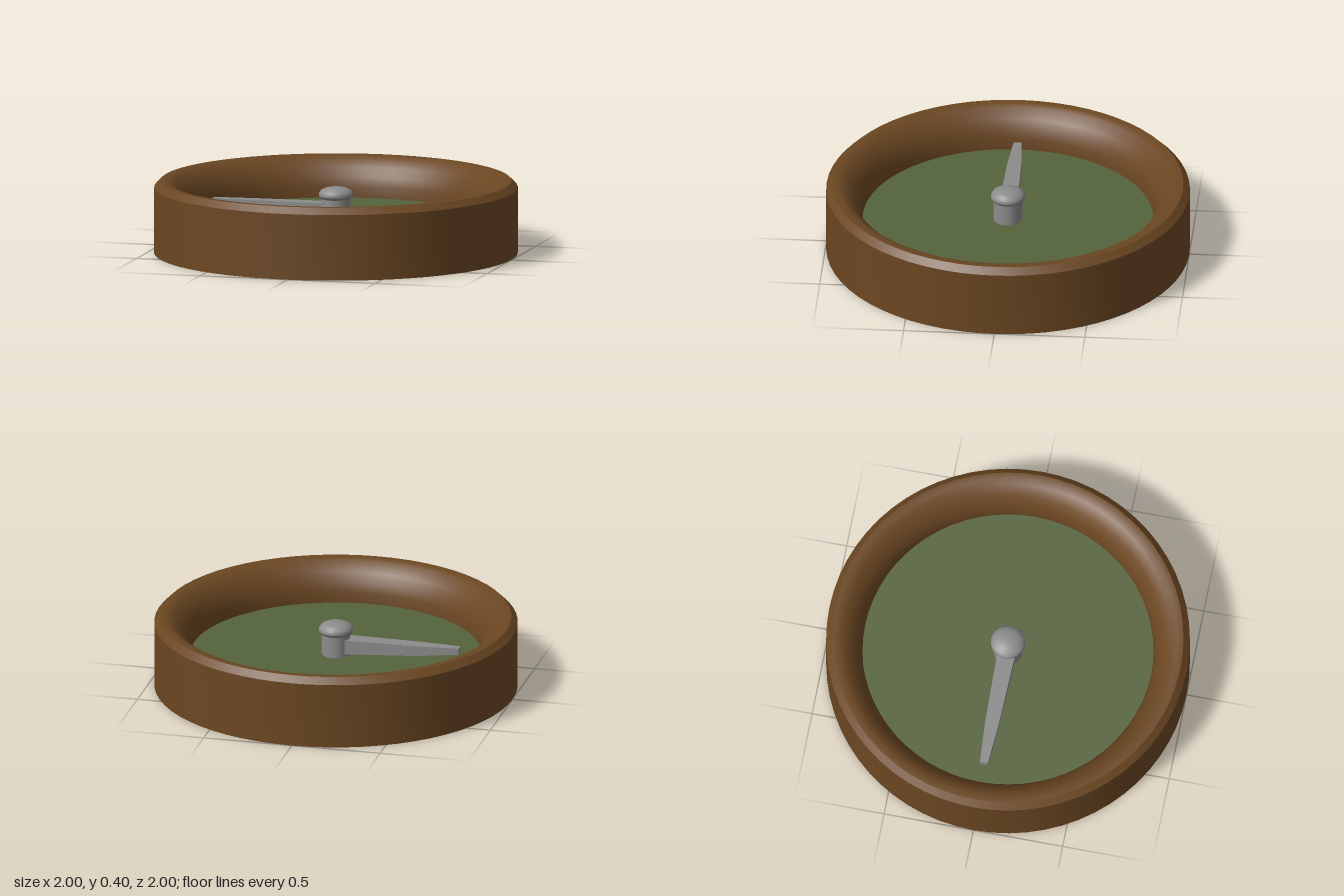
import * as THREE from 'three';
import { toCreasedNormals } from 'three/addons/utils/BufferGeometryUtils.js';

const wood = new THREE.MeshStandardMaterial({ color: 0x6b4722 });
const felt = new THREE.MeshStandardMaterial({ color: 0x55633c });
const metal = new THREE.MeshStandardMaterial({ color: 0x8c8c8c });

function add(group, name, geometry, material) {
  const mesh = new THREE.Mesh(geometry, material);
  mesh.name = name;
  group.add(mesh);
  return mesh;
}

// Turned solid: profile of [radius, height] pairs, creased at sharp corners
function turned(profile, sides) {
  const points = profile.map(([r, y]) => new THREE.Vector2(r, y));
  return toCreasedNormals(new THREE.LatheGeometry(points, sides), 0.6);
}

// Pointer: a box whose sections narrow and thin out toward the tip
function pointerGeometry() {
  // x, half width, bottom, top
  const sections = [
    [-0.7, 0.022, 0.243, 0.277],
    [-0.47, 0.038, 0.22, 0.277],
    [-0.02, 0.05, 0.195, 0.277],
  ];
  const geometry = new THREE.BoxGeometry(2, 2, 2, 2, 1, 1);
  const pos = geometry.attributes.position;
  for (let i = 0; i < pos.count; i++) {
    const [x, half, bottom, top] = sections[Math.round(pos.getX(i)) + 1];
    pos.setXYZ(i, x, pos.getY(i) > 0 ? top : bottom, half * Math.sign(pos.getZ(i)));
  }
  return toCreasedNormals(geometry, 0.3);
}

export function createModel() {
  const model = new THREE.Group();
  model.name = 'dial';

  // Round case with a bevelled outer edge and a rounded inner lip
  add(model, 'case', turned([
    [0, 0], [1, 0], [1, 0.365], [0.965, 0.4], [0.93, 0.4],
    [0.9, 0.387], [0.85, 0.342], [0.82, 0.29], [0.803, 0.24], [0.8, 0.175],
  ], 64), wood);

  // Flat dial face inside the case
  const face = add(model, 'dialFace', new THREE.CircleGeometry(0.802, 64), felt);
  face.rotation.x = -Math.PI / 2;
  face.position.y = 0.18;

  // Centre post with a domed cap
  const post = add(model, 'centrePost', new THREE.CylinderGeometry(0.079, 0.079, 0.14, 32), metal);
  post.position.y = 0.24;
  add(model, 'postCap', turned([
    [0.07, 0.3], [0.083, 0.3], [0.094, 0.315], [0.094, 0.33],
    [0.082, 0.348], [0.055, 0.36], [0, 0.366],
  ], 32), metal);

  add(model, 'pointer', pointerGeometry(), metal);
  return model;
}
